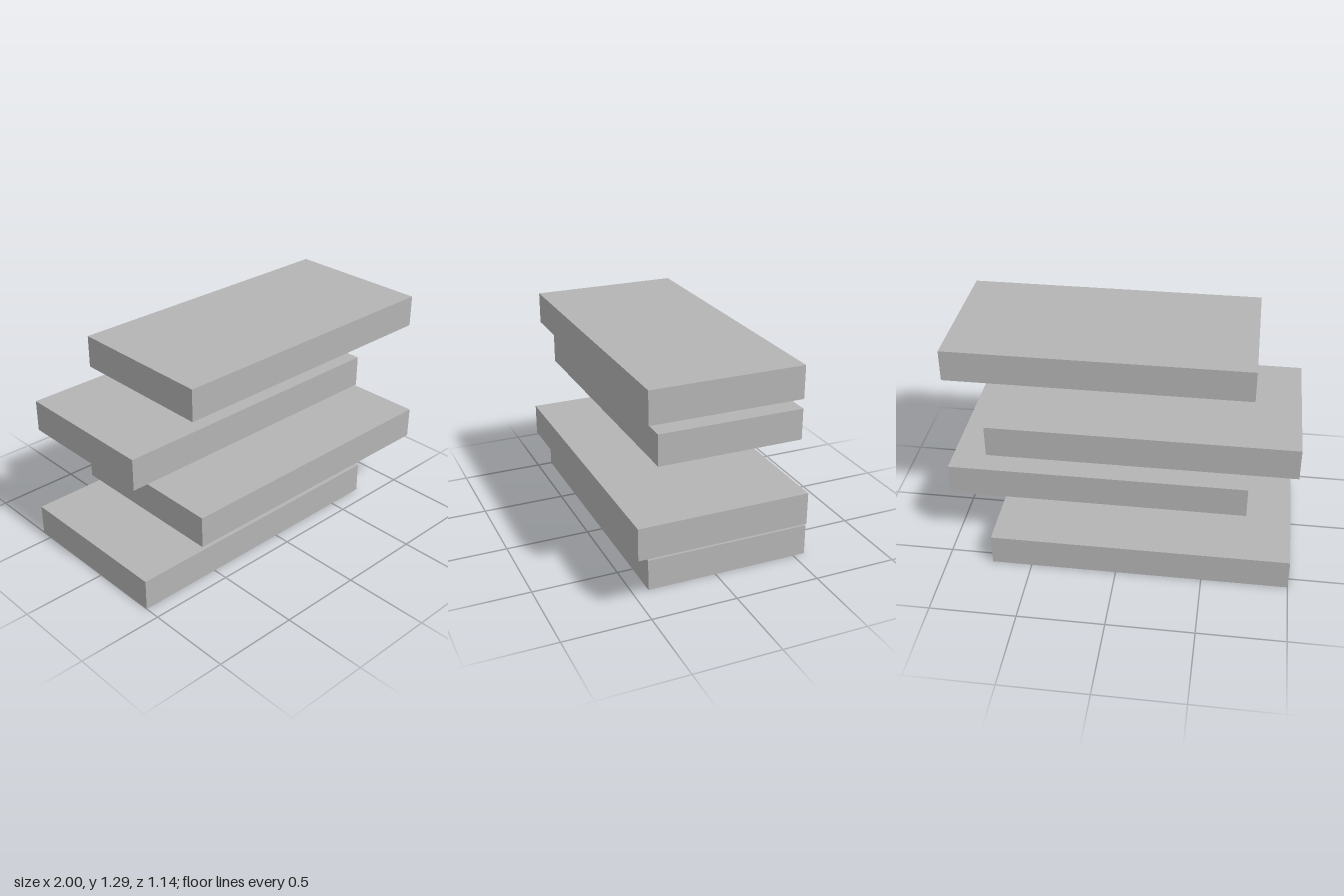
import * as THREE from 'three';

// Four floating slabs, alternating sideways and front to back
export function createModel() {
  const group = new THREE.Group();
  group.name = 'slabStack';
  const grey = new THREE.MeshStandardMaterial({ color: 0xb4b4b4 });
  grey.name = 'grey';

  const width = 1.734, thickness = 0.1845;
  const shiftX = 0.133, shiftZ = 0.082;

  // Depth of each slab, bottom to top; the upper pair is shallower
  [0.98, 0.98, 0.86, 0.86].forEach((depth, i) => {
    const side = i % 2 ? 1 : -1;
    const slab = new THREE.Mesh(new THREE.BoxGeometry(width, thickness, depth), grey);
    slab.name = `slab${i + 1}`;
    // The gap between slabs equals one thickness
    slab.position.set(side * shiftX, thickness * (2 * i + 0.5), side * shiftZ);
    group.add(slab);
  });
  return group;
}
